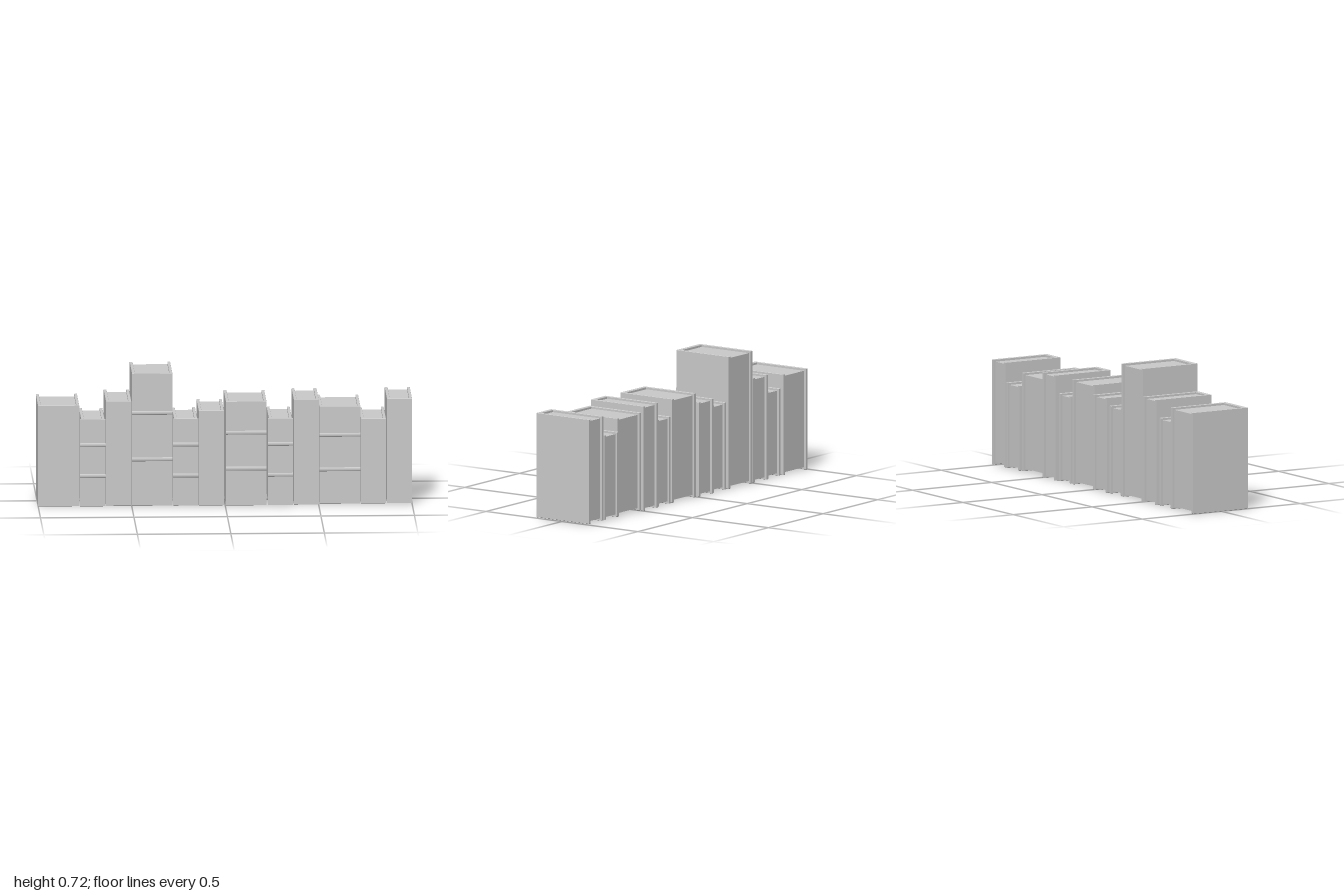
import * as THREE from 'three';

const material = new THREE.MeshStandardMaterial({ color: 0xcccccc });

// left edge, right edge, base, top, back z, front z, raised band heights, side inset of the covers
const BOOKS = [
  [-1.0, -0.78, 0, 0.548, -0.178, 0.168, [], 0],
  [-0.776, -0.639, 0, 0.473, -0.165, 0.174, [0.165, 0.333], 0.006],
  [-0.637, -0.502, 0, 0.57, -0.178, 0.168, [], 0],
  [-0.498, -0.282, 0, 0.72, -0.175, 0.169, [0.253, 0.505], 0],
  [-0.279, -0.143, 0, 0.473, -0.165, 0.174, [0.165, 0.333], 0.006],
  [-0.141, -0.006, 0, 0.515, -0.178, 0.168, [], 0],
  [0.004, 0.221, 0, 0.565, -0.165, 0.174, [0.2, 0.395], 0],
  [0.228, 0.363, 0, 0.473, -0.165, 0.174, [0.165, 0.333], 0.006],
  [0.368, 0.501, 0, 0.57, -0.178, 0.168, [], 0],
  [0.504, 0.723, 0.005, 0.536, -0.165, 0.174, [0.193, 0.38], 0],
  [0.727, 0.86, 0.005, 0.466, -0.178, 0.168, [], 0],
  [0.866, 1.0, 0.005, 0.573, -0.178, 0.168, [], 0],
];

const BOARD = 0.015; // cover board thickness
const SPINE = 0.022; // spine thickness
const RECESS = 0.012; // how far the pages sit inside the cover
const BEVEL = 0.0015;

// U-shaped cover, drawn in plan and extruded upwards
function coverGeometry(w, h, back, front, inset) {
  const a = w / 2 - BEVEL;
  const o = a - inset;
  const i = w / 2 - inset - BOARD + BEVEL;
  const f = front - BEVEL;
  const b = back + BEVEL;
  const lip = front - 0.008;
  const inner = front - SPINE + BEVEL;
  const outline = [[-o, b], [-i, b], [-i, inner], [i, inner], [i, b], [o, b], [o, lip], [a, lip], [a, f], [-a, f], [-a, lip], [-o, lip]];
  // drop the doubled corners where the spine is as wide as the boards
  const points = outline.filter((p, k) => {
    const q = outline[(k + 1) % outline.length];
    return p[0] !== q[0] || p[1] !== q[1];
  }).filter((p) => inset > 0 || p[1] !== lip);
  const shape = new THREE.Shape(points.map(([x, z]) => new THREE.Vector2(x, -z)));
  const geometry = new THREE.ExtrudeGeometry(shape, {
    depth: h - 2 * BEVEL, bevelEnabled: true, bevelSize: BEVEL, bevelThickness: BEVEL, bevelSegments: 1,
  });
  return geometry.rotateX(-Math.PI / 2).translate(0, BEVEL, 0);
}

function addPart(parent, name, geometry, x = 0, y = 0, z = 0) {
  const mesh = new THREE.Mesh(geometry, material);
  mesh.name = name;
  mesh.position.set(x, y, z);
  parent.add(mesh);
}

function createBook([left, right, base, top, back, front, bands, inset]) {
  const book = new THREE.Group();
  const w = right - left;
  const h = top - base;
  book.position.set((left + right) / 2, base, 0);

  addPart(book, 'cover', coverGeometry(w, h, back, front, inset));

  // page block, set in from the top, bottom and fore edge
  const pageBack = back + RECESS;
  const pageFront = front - SPINE + 0.002;
  const pages = new THREE.BoxGeometry(w - 2 * (inset + BOARD) + 0.002, h - 2 * RECESS, pageFront - pageBack);
  addPart(book, 'pages', pages, 0, h / 2, (pageFront + pageBack) / 2);

  // rounded raised bands across the spine
  for (const y of bands) {
    const band = new THREE.CylinderGeometry(1, 1, w, 16).rotateZ(Math.PI / 2).scale(1, 0.011, 0.005);
    addPart(book, 'spineBand', band, 0, y - base, front - 0.001);
  }
  return book;
}

export function createModel() {
  const model = new THREE.Group();
  model.name = 'bookRow';
  BOOKS.forEach((spec, k) => {
    const book = createBook(spec);
    book.name = `book${k + 1}`;
    model.add(book);
  });
  return model;
}
